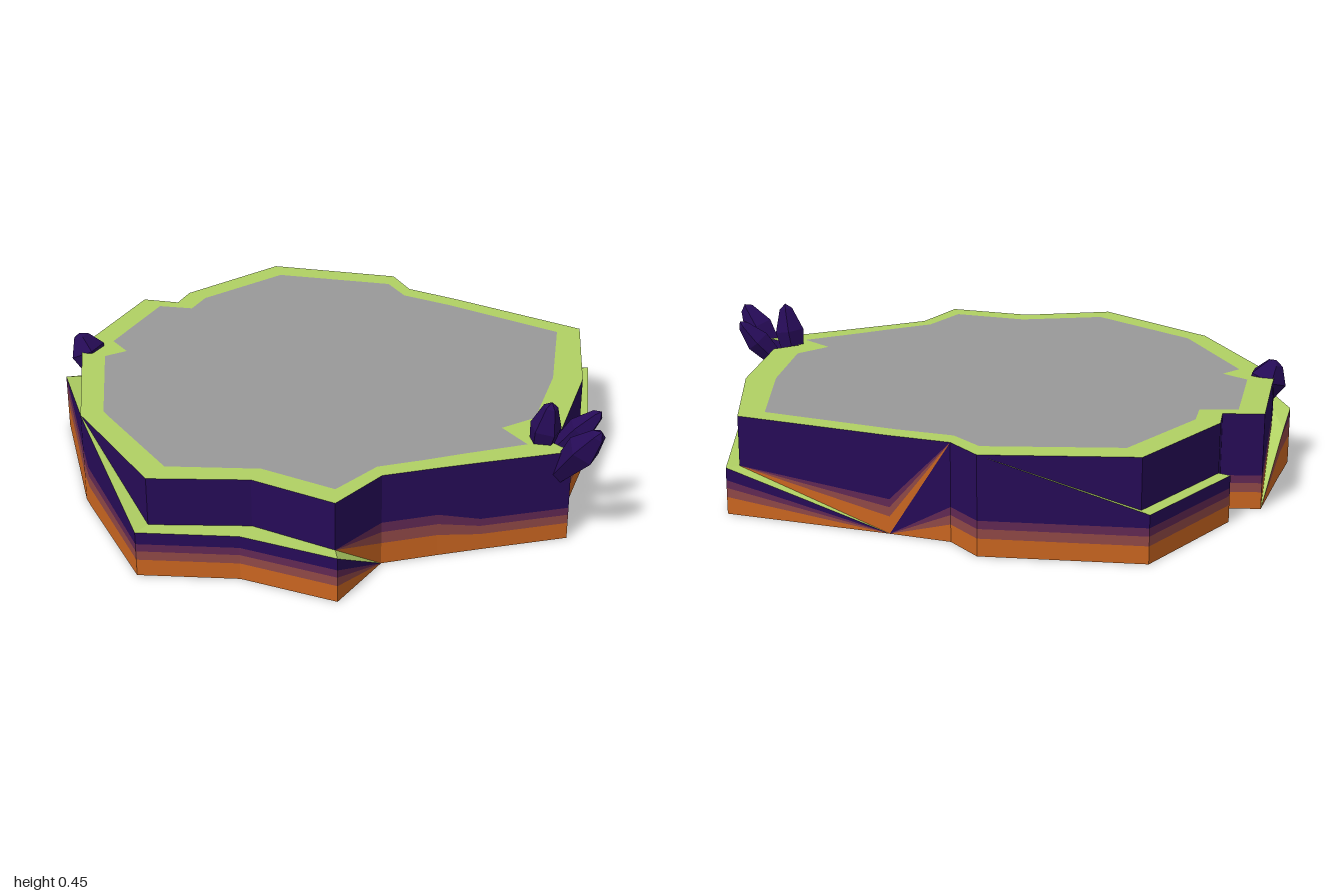
import * as THREE from 'three';

const TOP = 0.31;

// Outline stations: outer x,z | upper wall x,z | cap edge x,z | ledge height | top of the strata
const STATIONS = [
  { o: [0.34, -0.96], i: [0.32, -0.92], g: [0.28, -0.84], ledge: 0.15 },
  { o: [0.61, -0.61], i: [0.59, -0.59], g: [0.51, -0.53], ledge: 0.15 },
  { o: [0.80, -0.23], i: [0.77, -0.25], g: [0.66, -0.25], ledge: 0.15 },
  { o: [0.73, -0.16], g: [0.63, -0.12], ledge: 0 },
  { o: [0.89, -0.15], g: [0.76, -0.09], ledge: 0 },
  { o: [0.74, 0.10], g: [0.66, 0.10], ledge: 0 },
  { o: [0.67, 0.22], g: [0.60, 0.22], ledge: 0, strata: 0.145 },
  { o: [0.58, 0.38], g: [0.53, 0.35], ledge: 0, strata: 0.145 },
  { o: [0.64, 0.63], i: [0.60, 0.60], g: [0.54, 0.54], ledge: 0.15 },
  { o: [0.34, 0.75], i: [0.32, 0.68], g: [0.29, 0.61], ledge: 0.15 },
  { o: [0.10, 0.96], i: [0.09, 0.90], g: [0.07, 0.81], ledge: 0.15 },
  { o: [-0.34, 0.80], i: [-0.345, 0.79], g: [-0.32, 0.72], ledge: 0.295, strata: 0.145 },
  { o: [-0.39, 0.78], g: [-0.36, 0.71], ledge: TOP, strata: 0.195 },
  { o: [-0.87, 0.49], i: [-0.83, 0.44], g: [-0.70, 0.44], ledge: 0.19, strata: 0.195 },
  { o: [-0.90, 0.38], i: [-0.855, 0.38], g: [-0.68, 0.36], ledge: 0.15, strata: 0.18 },
  { o: [-0.91, 0.34], i: [-0.87, 0.34], g: [-0.78, 0.34], ledge: 0.13, strata: 0.17 },
  { o: [-1.00, 0.02], g: [-0.91, 0.02], ledge: 0 },
  { o: [-0.89, -0.05], g: [-0.81, -0.05], ledge: 0 },
  { o: [-0.97, -0.14], i: [-0.93, -0.14], g: [-0.85, -0.15], ledge: 0.15 },
  { o: [-0.94, -0.58], i: [-0.90, -0.56], g: [-0.82, -0.51], ledge: 0.15 },
  { o: [-0.50, -0.81], g: [-0.46, -0.74], ledge: TOP },
  { o: [-0.37, -0.76], g: [-0.34, -0.70], ledge: TOP },
  { o: [-0.18, -0.81], g: [-0.16, -0.75], ledge: 0 },
].map((s) => ({ i: s.o, strata: 0.11, ...s }));

function material(name, color) {
  const m = new THREE.MeshStandardMaterial({ color, side: THREE.DoubleSide });
  m.name = name;
  return m;
}

const at = ([x, z], y) => new THREE.Vector3(x, y, z);

// Closed strip around the outline between two rows of points, flat shaded
function strip(low, high) {
  const pos = [];
  const tri = (a, b, c) => {
    if (new THREE.Triangle(a, b, c).getArea() > 1e-6) pos.push(...a, ...b, ...c);
  };
  STATIONS.forEach((s, k) => {
    const n = STATIONS[(k + 1) % STATIONS.length];
    const a = low(s), b = low(n), c = high(n), d = high(s);
    tri(a, d, b);
    tri(b, d, c);
  });
  const geo = new THREE.BufferGeometry();
  geo.setAttribute('position', new THREE.Float32BufferAttribute(pos, 3));
  geo.computeVertexNormals();
  return geo;
}

// Faceted pointed crystal from a base point to a tip
function crystal(name, base, tip, radius, sides, mat) {
  const from = new THREE.Vector3(...base);
  const dir = new THREE.Vector3(...tip).sub(from);
  const len = dir.length();
  const profile = [[0, 0], [0.5, 0], [1, 0.62], [0.45, 0.93], [0, 1]]
    .map(([r, y]) => new THREE.Vector2(r * radius, y * len));
  const geo = new THREE.LatheGeometry(profile, sides).toNonIndexed();
  geo.computeVertexNormals();
  const mesh = new THREE.Mesh(geo, mat);
  mesh.name = name;
  mesh.position.copy(from);
  mesh.quaternion.setFromUnitVectors(new THREE.Vector3(0, 1, 0), dir.normalize());
  return mesh;
}

export function createModel() {
  const group = new THREE.Group();
  group.name = 'rockPlatform';
  const indigo = material('indigo', 0x260b57);
  const lime = material('lime', 0xb0d063);
  const grey = material('grey', 0x999999);
  const layers = [
    ['lowerStratum', material('orange', 0xc96520), 0, 0.5],
    ['middleStratum', material('rust', 0x8f4846), 0.5, 0.77],
    ['upperStratum', material('plum', 0x612853), 0.77, 1],
    ['rock', indigo, 1, 10],
  ];
  const add = (name, geo, mat) => {
    const mesh = new THREE.Mesh(geo, mat);
    mesh.name = name;
    group.add(mesh);
  };

  // Hollow walls: layered lower wall up to the ledge, upper wall above it
  for (const [name, mat, f0, f1] of layers) {
    const lower = (f) => (s) => at(s.o, Math.min(s.strata * f, s.ledge));
    const upper = (f) => (s) => at(s.i, THREE.MathUtils.clamp(s.strata * f, s.ledge, TOP));
    add(name + 'LowerWall', strip(lower(f0), lower(f1)), mat);
    add(name + 'UpperWall', strip(upper(f0), upper(f1)), mat);
  }

  // Grass ledge and rim
  add('grassLedge', strip((s) => at(s.o, s.ledge), (s) => at(s.i, s.ledge)), lime);
  add('grassRim', strip((s) => at(s.i, TOP), (s) => at(s.g, TOP)), lime);

  // Flat top
  const shape = new THREE.Shape(STATIONS.map((s) => new THREE.Vector2(s.g[0], -s.g[1])));
  add('topSurface', new THREE.ShapeGeometry(shape).rotateX(-Math.PI / 2).translate(0, TOP, 0), grey);

  // Crystals growing from the edge
  group.add(
    crystal('tallCrystal', [0.75, 0.2, -0.15], [0.8, 0.45, -0.15], 0.052, 5, indigo),
    crystal('outerCrystal', [0.84, 0.21, -0.13], [1.0, 0.42, -0.145], 0.055, 5, indigo),
    crystal('backCrystal', [0.76, 0.22, -0.19], [0.89, 0.4, -0.29], 0.045, 5, indigo),
    crystal('smallCrystal', [-0.77, 0.2, 0.42], [-0.83, 0.36, 0.45], 0.065, 5, indigo),
  );
  return group;
}
